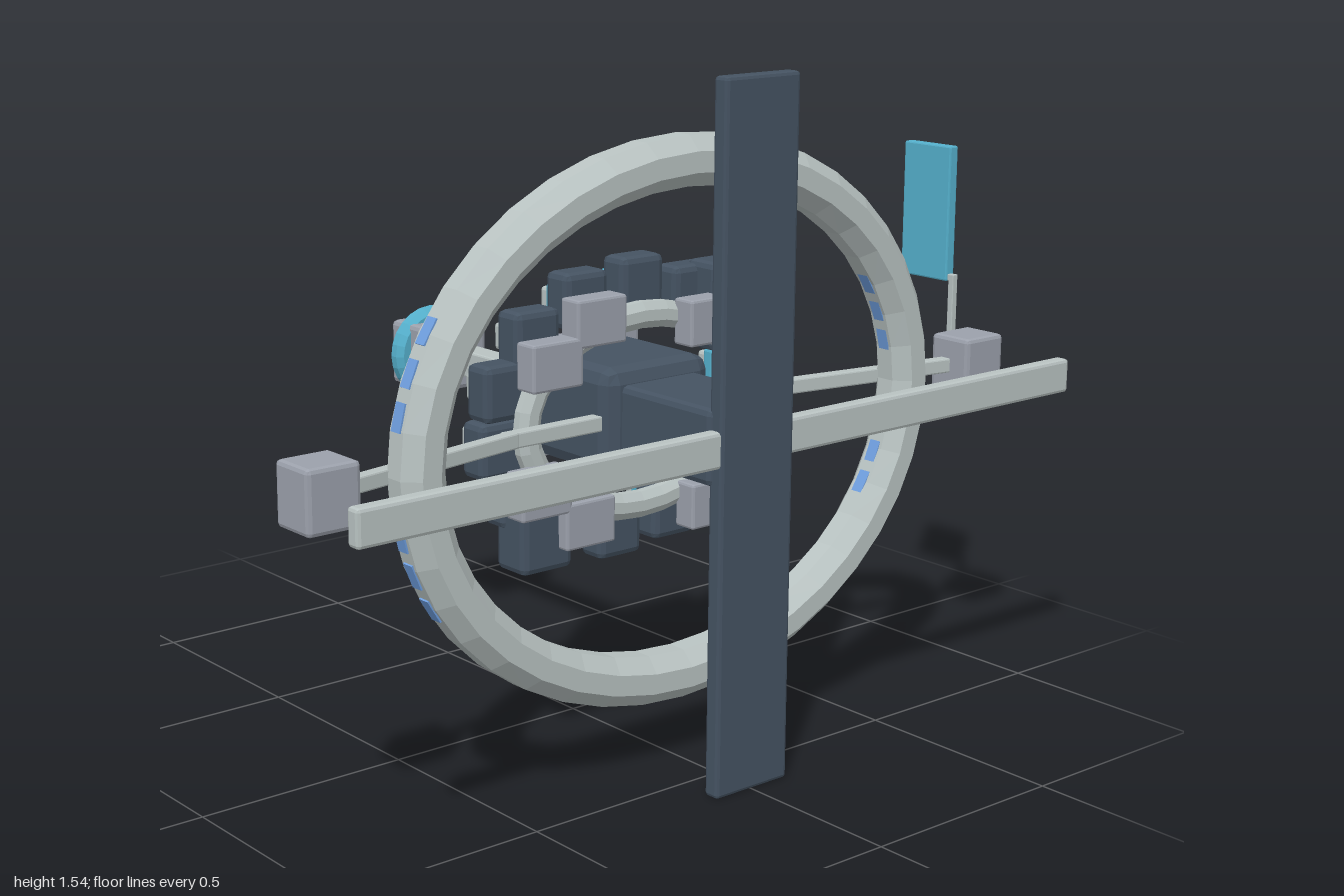
import * as THREE from 'three';
import { RoundedBoxGeometry } from 'three/addons/geometries/RoundedBoxGeometry.js';

const paint = (name, color) => {
  const m = new THREE.MeshStandardMaterial({ color });
  m.name = name;
  return m;
};

export function createModel() {
  const model = new THREE.Group();
  const dark = paint('darkSlate', 0x455362);
  const gray = paint('steelGray', 0x9ca1ac);
  const light = paint('paleHull', 0xb9c3c2);
  const blue = paint('panelBlue', 0x55b0cc);
  const glow = paint('lightStripBlue', 0x6f9fe0);
  const CY = 0.77;

  const add = (name, geo, mat, x = 0, y = 0, z = 0, parent = model) => {
    const mesh = new THREE.Mesh(geo, mat);
    mesh.name = name;
    mesh.position.set(x, y, z);
    parent.add(mesh);
    return mesh;
  };

  // Box with flat chamfered edges
  const box = (name, mat, w, h, d, x, y, z, bevel = 0.008, parent = model) => {
    const geo = new RoundedBoxGeometry(w, h, d, 1, bevel);
    geo.computeVertexNormals();
    return add(name, geo, mat, x, y, z, parent);
  };

  // Elliptical ring facing z with an eight-sided tube, flats outward
  const ring = (name, mat, rx, ry, tubeR, tubeZ, segments, z) => {
    const profile = [];
    for (let i = 0; i <= 8; i++) {
      const a = (i + 0.5) * Math.PI / 4;
      profile.push(new THREE.Vector2(ry + tubeR * Math.cos(a), tubeZ * Math.sin(a)));
    }
    const lathe = new THREE.LatheGeometry(profile, segments);
    lathe.rotateX(Math.PI / 2);
    const p = lathe.attributes.position;
    for (let i = 0; i < p.count; i++) {
      const x = p.getX(i);
      p.setX(i, x + (rx - ry) * x / Math.hypot(x, p.getY(i)));
    }
    const geo = lathe.toNonIndexed();
    geo.computeVertexNormals();
    return add(name, geo, mat, 0, CY, z);
  };

  // Front cross: upright slab and long horizontal beam
  box('uprightSlab', dark, 0.205, 1.54, 0.04, 0, 0.77, 0.595);
  box('crossBeam', light, 2, 0.08, 0.036, 0, CY, 0.592);

  // Central spine from the slab back to the tail
  box('frontHub', dark, 0.22, 0.167, 0.3, 0, CY, 0.44, 0.015);
  box('coreBlock', dark, 0.3, 0.24, 0.285, 0, CY, 0.162, 0.035);
  box('rearFlange', gray, 0.36, 0.27, 0.042, 0, CY, 0, 0.008);
  box('tailBoom', light, 0.06, 0.065, 0.46, 0, CY, -0.23, 0.005);
  box('tailBlock', gray, 0.16, 0.156, 0.175, 0, CY, -0.522, 0.012);
  ring('tailCollar', blue, 0.092, 0.088, 0.025, 0.026, 24, -0.55);

  // Main habitat ring with short light strips on its sides
  ring('mainRing', light, 0.695, 0.57, 0.0595, 0.0595, 40, 0.365);
  for (const s of [-1, 1]) {
    for (const edge of [-1, 1]) {
      for (const dir of [-1, 1]) {
        for (const k of [0.2, 0.34, 0.48]) {
          const a = k * dir;
          const off = edge * 0.0555;
          const strip = add('ringLight', new THREE.BoxGeometry(0.004, 0.06, 0.03), glow,
            s * (0.695 + off) * Math.cos(a), CY + (0.57 + off) * Math.sin(a), 0.365);
          strip.rotation.z = s * Math.atan(Math.tan(a) * 1.2);
        }
      }
    }
  }

  // Inner ring carrying the modules
  ring('innerRing', light, 0.315, 0.215, 0.032, 0.024, 32, 0.232);

  // Cargo modules around the inner ring, each with a blue collar and pale cap
  const count = 14;
  for (let i = 0; i < count; i++) {
    const a = 0.14 + i * 2 * Math.PI / count;
    const c = Math.cos(a), s = Math.sin(a);
    const unit = new THREE.Group();
    unit.name = 'cargoModule';
    model.add(unit);
    box('moduleBody', dark, 0.12, 0.125, 0.075, 0.36 * c, CY + 0.277 * s, 0.173, 0.015, unit);
    box('moduleCollar', blue, 0.085, 0.08, 0.03, 0.345 * c, CY + 0.262 * s, 0.124, 0.006, unit);
    box('moduleCap', light, 0.066, 0.06, 0.034, 0.345 * c, CY + 0.262 * s, 0.095, 0.008, unit);
  }

  // Two deeper modules and the gray front containers
  for (const [x, y] of [[0.255, 1.01], [-0.285, 0.53]]) {
    box('deepModule', dark, 0.135, 0.14, 0.1, x, y, 0.22, 0.015);
  }
  for (const [x, y] of [[-0.16, 1.0], [-0.28, 0.92], [-0.31, 0.645], [-0.19, 0.56],
    [0.17, 0.54], [0.245, 0.6], [0.16, 0.96], [0.28, 0.9]]) {
    box('frontContainer', gray, 0.135, 0.105, 0.06, x, y, 0.27, 0.006);
  }

  // Side arms and end pods
  for (const s of [-1, 1]) {
    box('innerArm', light, 0.28, 0.035, 0.03, s * 0.26, CY, 0.265, 0.004);
    const arm = box('outerArm', light, 0.52, 0.035, 0.03, s * 0.63, CY, 0.31, 0.004);
    arm.rotation.y = -s * 0.17;
    box('endPod', gray, 0.125, 0.137, 0.115, s * 0.923, CY + 0.002, 0.362, 0.01);
  }

  // Upright panel on a mast above the left pod
  box('panelMast', light, 0.016, 0.15, 0.016, 0.927, 0.9, 0.305, 0.002);
  box('panelMastTop', light, 0.016, 0.016, 0.03, 0.927, 0.967, 0.298, 0.002);
  box('uprightPanel', blue, 0.027, 0.325, 0.148, 0.927, 1.12, 0.221, 0.004);

  return model;
}
